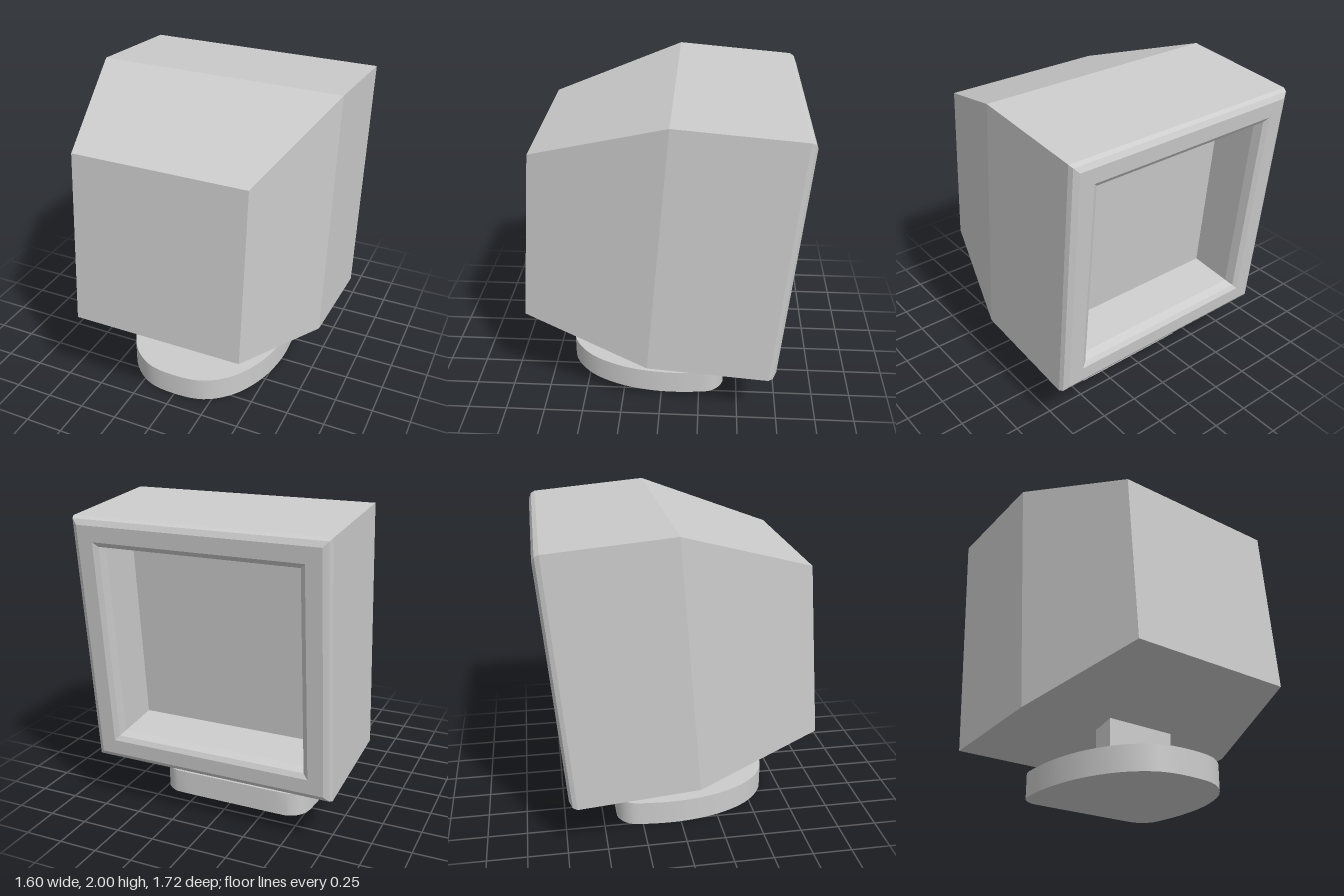
import * as THREE from 'three';
import { toCreasedNormals } from 'three/addons/utils/BufferGeometryUtils.js';

const grey = new THREE.MeshStandardMaterial({ color: 0xcccccc });

// Lofts square rings [halfSize, z, yOffset], listed from front to back.
function loftSquares(rings, { frontCap = false, backCap = false } = {}) {
  const corners = rings.map(([h, z, y = 0]) =>
    [[-h, y - h, z], [h, y - h, z], [h, y + h, z], [-h, y + h, z]]);
  const pos = [];
  const quad = (a, b, c, d) => pos.push(...a, ...b, ...c, ...a, ...c, ...d);
  for (let r = 0; r < rings.length - 1; r++) {
    const a = corners[r], b = corners[r + 1];
    for (let i = 0; i < 4; i++) {
      const j = (i + 1) % 4;
      quad(a[i], b[i], b[j], a[j]);
    }
  }
  if (frontCap) quad(...corners[0]);
  if (backCap) quad(...[...corners[corners.length - 1]].reverse());
  const geo = new THREE.BufferGeometry();
  geo.setAttribute('position', new THREE.Float32BufferAttribute(pos, 3));
  geo.computeVertexNormals();
  return geo;
}

function addMesh(parent, name, geometry) {
  const mesh = new THREE.Mesh(geometry, grey);
  mesh.name = name;
  parent.add(mesh);
  return mesh;
}

export function createModel() {
  const model = new THREE.Group();
  model.name = 'monitor';

  // Tilted head: tapered casing, rounded bezel and sunken screen
  const head = new THREE.Group();
  head.name = 'head';
  head.position.set(0, 1.2025, 0.005);
  head.rotation.x = THREE.MathUtils.degToRad(-4.9);
  model.add(head);

  addMesh(head, 'casing', loftSquares(
    [[0.555, 0.807, -0.102], [0.8, 0], [0.8, -0.758]], { frontCap: true }));
  addMesh(head, 'bezel', loftSquares([
    [0.8, -0.758], [0.789, -0.785], [0.757, -0.803],
    [0.66, -0.803], [0.63, -0.785], [0.615, -0.73], [0.61, -0.45],
  ]));
  addMesh(head, 'screen', loftSquares([[0.61, -0.45]], { backCap: true }));

  // Neck, reaching up into the casing
  const neck = addMesh(model, 'neck', new THREE.BoxGeometry(0.48, 0.37, 0.145));
  neck.position.set(0, 0.335, 0.1125);

  // Base plate: straight back edge, bulging rounded front
  const half = [[0.2, 0.61], [0.36, 0.485], [0.47, 0.28], [0.522, 0.04],
    [0.522, -0.2], [0.495, -0.34], [0.4, -0.41]];
  const outline = [[0, 0.64], ...half, ...half.map(([x, z]) => [-x, z]).reverse()];
  const curve = new THREE.CatmullRomCurve3(
    outline.map(([x, z]) => new THREE.Vector3(x, -z, 0)), true);
  const shape = new THREE.Shape(curve.getPoints(90).slice(0, -1)
    .map((p) => new THREE.Vector2(p.x, Math.min(p.y, 0.412))));
  const plate = new THREE.ExtrudeGeometry(shape, { depth: 0.16, bevelEnabled: false });
  plate.rotateX(-Math.PI / 2);
  addMesh(model, 'base', toCreasedNormals(plate, 0.6));

  return model;
}
